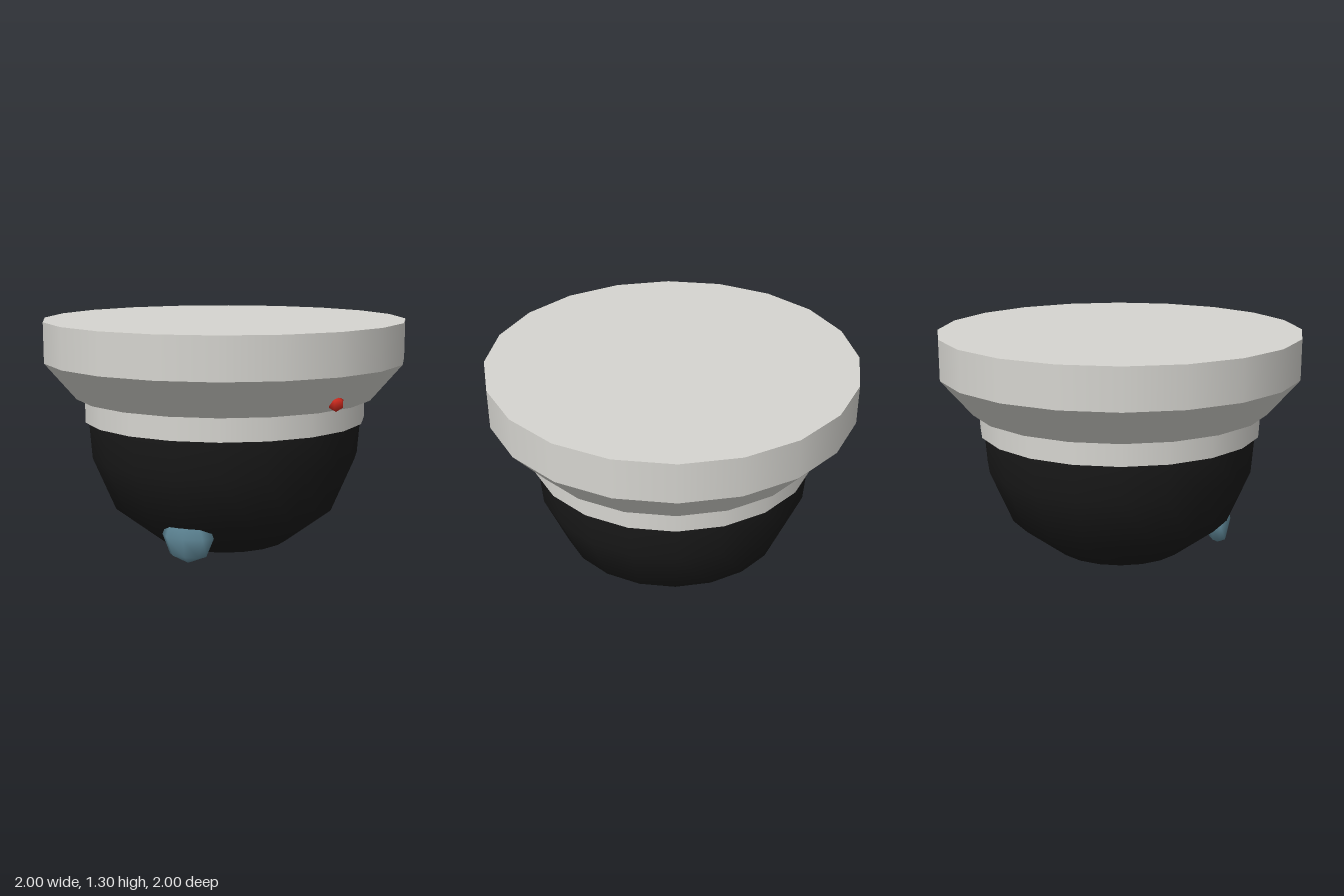
import * as THREE from 'three';

const SIDES = 20;

export function createModel() {
  const model = new THREE.Group();

  const makeMaterial = (name, color) => {
    const material = new THREE.MeshStandardMaterial({ color });
    material.name = name;
    return material;
  };
  const shell = makeMaterial('shell grey', 0xd6d5d0);
  const tinted = makeMaterial('tinted black', 0x1a1a1a);
  const glass = makeMaterial('lens blue', 0x5f8797);
  const red = makeMaterial('indicator red', 0xcc2a1e);

  const add = (name, geometry, material, x = 0, y = 0, z = 0) => {
    const mesh = new THREE.Mesh(geometry, material);
    mesh.name = name;
    mesh.position.set(x, y, z);
    model.add(mesh);
    return mesh;
  };

  // A round, 20-sided band between two heights
  const band = (name, topRadius, bottomRadius, top, bottom) =>
    add(name, new THREE.CylinderGeometry(topRadius, bottomRadius, top - bottom, SIDES),
      shell, 0, (top + bottom) / 2, 0);

  // Ceiling mount: straight rim, tapered skirt and the collar holding the dome
  band('mountRim', 1, 1, 1.3, 1.08);
  band('mountSkirt', 1, 0.83, 1.08, 0.88);
  band('domeCollar', 0.785, 0.785, 0.88, 0.75);

  // Dark dome, hanging from the collar
  const profile = [[0, 0], [0.375, 0.062], [0.625, 0.255], [0.75, 0.55], [0.766, 0.76]]
    .map(([r, y]) => new THREE.Vector2(r, y));
  add('dome', new THREE.LatheGeometry(profile, SIDES), tinted);

  // Flattened lens set into the lower front of the dome
  const lens = add('lens', new THREE.SphereGeometry(0.145, 8, 4), glass, 0, 0.2, 0.565);
  lens.scale.z = 0.5;

  // Small indicator light on the skirt
  const light = add('indicatorLight', new THREE.SphereGeometry(0.042, 6, 3), red, 0.752, 0.926, 0.438);
  light.rotation.y = Math.PI / 2;

  return model;
}
